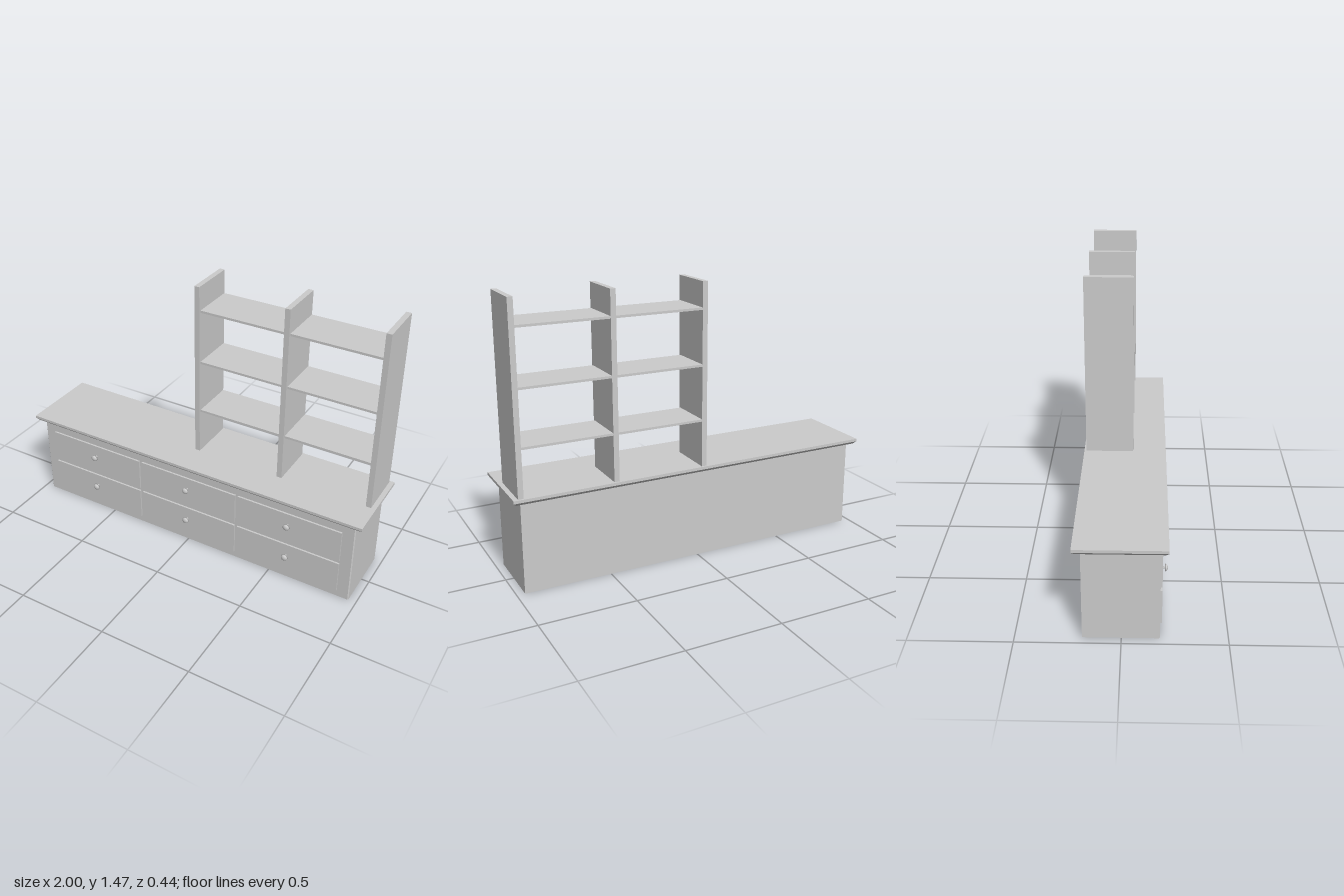
import * as THREE from 'three';

export function createModel() {
  const root = new THREE.Group();
  const mat = new THREE.MeshStandardMaterial({ color: 0xcccccc });

  const add = (name, geo, x = 0, y = 0, z = 0, parent = root) => {
    const mesh = new THREE.Mesh(geo, mat);
    mesh.name = name;
    mesh.position.set(x, y, z);
    parent.add(mesh);
    return mesh;
  };
  // Box given by its extents
  const block = (name, x0, x1, y0, y1, z0, z1, parent) =>
    add(name, new THREE.BoxGeometry(x1 - x0, y1 - y0, z1 - z0),
      (x0 + x1) / 2, (y0 + y1) / 2, (z0 + z1) / 2, parent);
  const rect = (Kind, x0, x1, y0, y1, c = 0) => {
    const s = new Kind();
    s.moveTo(x0 + c, y0);
    s.lineTo(x1 - c, y0);
    if (c) s.lineTo(x1, y0 + c);
    s.lineTo(x1, y1);
    s.lineTo(x0, y1);
    if (c) s.lineTo(x0, y0 + c);
    s.closePath();
    return s;
  };

  // Cabinet: thin-walled shell, open underneath, front corners slightly chamfered
  const plan = rect(THREE.Shape, -0.958, 0.958, -0.18, 0.184, 0.005);
  plan.holes.push(rect(THREE.Path, -0.954, 0.954, -0.176, 0.18));
  const shell = new THREE.ExtrudeGeometry(plan, { depth: 0.48, bevelEnabled: false });
  shell.rotateX(-Math.PI / 2);
  add('cabinetBody', shell);

  // Countertop with the lower half of its edge sloping inwards
  const top = new THREE.BoxGeometry(2, 0.03, 0.437, 1, 2, 1).toNonIndexed();
  const p = top.attributes.position;
  for (let i = 0; i < p.count; i++) {
    if (p.getY(i) < -0.01) {
      p.setX(i, p.getX(i) - Math.sign(p.getX(i)) * 0.014);
      p.setZ(i, p.getZ(i) - Math.sign(p.getZ(i)) * 0.014);
    }
  }
  top.computeVertexNormals();
  add('countertop', top, 0, 0.493, -0.0035);

  // Drawer fronts with a mushroom knob each
  const knobProfile = [[0.006, 0], [0.006, 0.018], [0.0185, 0.018], [0.0175, 0.023],
    [0.014, 0.028], [0.008, 0.031], [0, 0.032]].map(([r, h]) => new THREE.Vector2(r, h));
  const knobGeo = new THREE.LatheGeometry(knobProfile, 20);
  knobGeo.rotateX(Math.PI / 2);
  for (const [y0, y1, knobY] of [[0.037, 0.219, 0.15], [0.238, 0.418, 0.35]]) {
    for (const x of [-0.6, 0, 0.6]) {
      const drawer = new THREE.Group();
      drawer.name = 'drawer';
      root.add(drawer);
      block('drawerFront', x - 0.292, x + 0.292, y0, y1, 0.178, 0.19, drawer);
      add('drawerKnob', knobGeo, x, knobY, 0.19, drawer);
    }
  }

  // Open shelving on the left half of the countertop
  const shelving = new THREE.Group();
  shelving.name = 'shelving';
  root.add(shelving);
  const uprights = [-0.023, 0.468, 0.961];
  for (const x of uprights) {
    block('shelfUpright', x - 0.014, x + 0.014, 0.507, 1.467, -0.211, 0.04, shelving);
  }
  for (let i = 0; i < 2; i++) {
    for (const y of [0.756, 1.044, 1.332]) {
      block('shelf', uprights[i] + 0.013, uprights[i + 1] - 0.013,
        y - 0.006, y + 0.006, -0.21, 0.029, shelving);
    }
  }
  return root;
}
